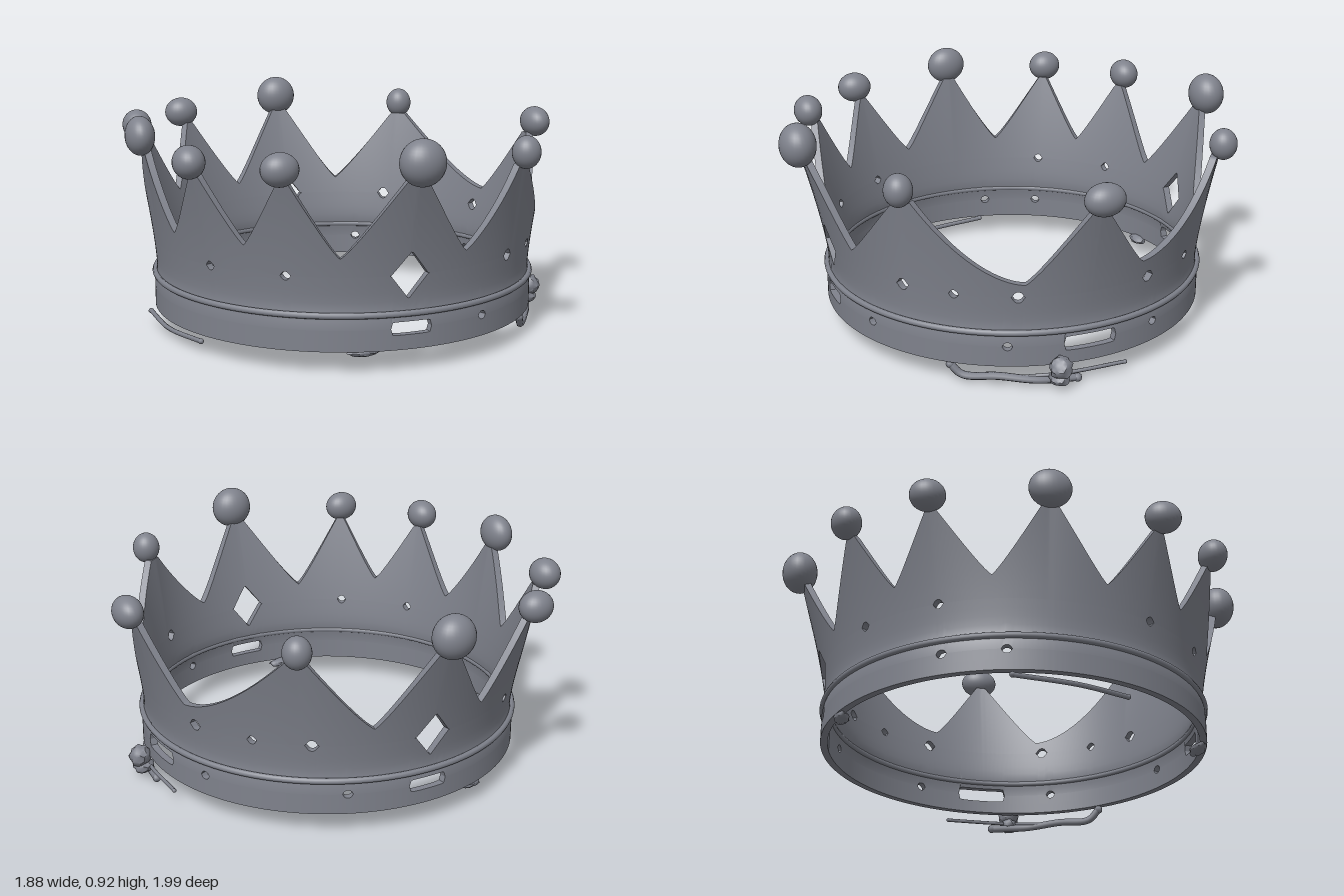
import * as THREE from 'three';
import { toCreasedNormals } from 'three/addons/utils/BufferGeometryUtils.js';

const CX = -0.025;          // ring centre in x
const BOTTOM = 0.09, BAND_MID = 0.175, WALL_MID = 0.385;
const THICK = 0.03;
const COLUMNS = 720;
const rad = THREE.MathUtils.degToRad;

// Balls on the spikes: x, y, z, then half sizes along x, y, z
const BALLS = [
  [-0.035, 0.835, 0.915, 0.09, 0.09, 0.075],
  [0.505, 0.8, 0.67, 0.058, 0.066, 0.057],
  [0.88, 0.8, -0.01, 0.06, 0.065, 0.082],
  [0.51, 0.805, -0.71, 0.057, 0.065, 0.057],
  [-0.035, 0.835, -0.925, 0.088, 0.088, 0.074],
  [-0.535, 0.805, -0.765, 0.073, 0.065, 0.062],
  [-0.8, 0.805, -0.475, 0.062, 0.065, 0.072],
  [-0.885, 0.835, -0.01, 0.06, 0.08, 0.086],
  [-0.8, 0.805, 0.46, 0.063, 0.065, 0.074],
  [-0.53, 0.81, 0.745, 0.074, 0.065, 0.06],
];
// Valley after each spike: angle in degrees, height
const VALLEYS = [
  [16.5, 0.455], [72, 0.44], [107, 0.465], [163, 0.455], [198, 0.455],
  [226, 0.49], [254, 0.48], [286, 0.48], [313.5, 0.495], [340, 0.46],
];
// Holes: angle, half width in degrees, half height, outline power (1 diamond, 2 oval, 8 slot)
const BAND_HOLES = [
  [0, 6, 0.026, 8], [91, 8, 0.03, 8], [180, 6, 0.026, 8],
  ...[24, 67, 113, 156, 240, 258].map(a => [a, 1.4, 0.017, 2]),
];
const WALL_HOLES = [
  [-0.8, 5.4, 0.097, 1], [180.8, 5.4, 0.097, 1],
  ...[36, 70, 110, 146].map(a => [a, 1.6, 0.024, 2]),
  ...[52, 129, 214, 239, 301, 325].map(a => [a, 1.2, 0.018, 2]),
];

const SPIKES = BALLS.map(([x, y, z], i) => ({
  angle: i === 0 ? -1 : (THREE.MathUtils.radToDeg(Math.atan2(x - CX, z)) + 360) % 360,
  reach: Math.hypot(x - CX, z) - 0.008,
  tip: y - 0.045,
}));

// Height of the top edge and reach of the flare at an angle
function crownAt(deg) {
  const d = deg >= 359 ? deg - 360 : deg;
  let i = SPIKES.length - 1;
  while (i > 0 && SPIKES[i].angle > d) i--;
  const a = SPIKES[i], b = SPIKES[(i + 1) % SPIKES.length];
  const end = b.angle <= a.angle ? b.angle + 360 : b.angle;
  const [va, vy] = VALLEYS[i];
  const left = d < va;
  const peak = left ? a : b;
  const width = left ? va - a.angle : end - va;
  const t = Math.min(1, Math.abs(d - va) / width / 0.92);
  return {
    // wide shoulders sag more than narrow ones
    top: vy + (peak.tip - vy) * Math.pow(t, width > 28 ? 1.7 : 1.18),
    reach: THREE.MathUtils.lerp(a.reach, b.reach, (d - a.angle) / (end - a.angle)),
  };
}

function holeHalfHeight(holes, deg) {
  for (const [a, w, h, p] of holes) {
    const d = Math.abs(((deg - a + 540) % 360) - 180) / w;
    if (d < 1) return h * Math.pow(1 - Math.pow(d, p), 1 / p);
  }
  return 0;
}

// Closed ring with a rectangular section between two height functions
function ringStrip(rows, low, high) {
  const pos = [], index = [], n = 2 * (rows + 1);
  for (let i = 0; i < COLUMNS; i++) {
    const deg = i * 360 / COLUMNS, a = rad(deg);
    const crown = crownAt(deg), y0 = low(deg), y1 = high(deg, crown);
    for (let j = 0; j < n; j++) {
      const k = j <= rows ? j : n - 1 - j;
      const y = y0 + (y1 - y0) * k / rows;
      const base = 0.798 - 0.01 * THREE.MathUtils.smoothstep(y, 0.2, 0.25);
      const lift = THREE.MathUtils.clamp((y - 0.27) / 0.53, 0, 1);
      const r = base + (crown.reach - base) * Math.pow(lift, 1.3) - (j <= rows ? 0 : THICK);
      pos.push(CX + r * Math.sin(a), y, r * Math.cos(a));
      const p = i * n + j, q = i * n + (j + 1) % n;
      const p2 = ((i + 1) % COLUMNS) * n + j, q2 = ((i + 1) % COLUMNS) * n + (j + 1) % n;
      index.push(p, p2, q2, p, q2, q);
    }
  }
  const g = new THREE.BufferGeometry();
  g.setAttribute('position', new THREE.Float32BufferAttribute(pos, 3));
  g.setIndex(index);
  return toCreasedNormals(g, rad(40));
}

export function createModel() {
  const crown = new THREE.Group();
  crown.name = 'crown';
  const metal = new THREE.MeshStandardMaterial({ color: 0x7f828c });
  metal.name = 'grey metal';
  const add = (name, geometry, x = 0, y = 0, z = 0) => {
    const m = new THREE.Mesh(geometry, metal);
    m.name = name;
    m.position.set(x, y, z);
    crown.add(m);
    return m;
  };

  // Wall in three rings that part around the two rows of holes
  const bandHole = d => holeHalfHeight(BAND_HOLES, d);
  const wallHole = d => holeHalfHeight(WALL_HOLES, d);
  add('lowerBand', ringStrip(2, () => BOTTOM, d => BAND_MID - bandHole(d)));
  add('middleWall', ringStrip(6, d => BAND_MID + bandHole(d), d => WALL_MID - wallHole(d)));
  add('spikedWall', ringStrip(8, d => WALL_MID + wallHole(d), (d, c) => c.top));

  // Raised rims outside and inside
  const rim = (name, r, tube, y) =>
    add(name, new THREE.TorusGeometry(r, tube, 8, 120).rotateX(Math.PI / 2), CX, y, 0);
  rim('outerRim', 0.795, 0.013, 0.232);
  rim('innerRim', 0.766, 0.012, 0.232);

  // Balls on the spike tips
  for (const [x, y, z, sx, sy, sz] of BALLS) {
    add('ball', new THREE.SphereGeometry(1, 28, 20), x, y, z).scale.set(sx, sy, sz);
  }

  // Loose strands under the foot
  const strand = (name, radius, points) => {
    const path = new THREE.CatmullRomCurve3(points.map(p => new THREE.Vector3(...p)));
    add(name, new THREE.TubeGeometry(path, 32, radius, 7));
    for (const p of [points[0], points[points.length - 1]]) {
      add(name + 'End', new THREE.SphereGeometry(radius * 1.15, 8, 6), ...p);
    }
  };
  strand('rightStrand', 0.016, [[0.575, 0.075, 0.5], [0.6, 0.032, 0.46], [0.68, 0.04, 0.34],
    [0.75, 0.03, 0.2], [0.77, 0.02, 0.04]]);
  strand('rightThinStrand', 0.008, [[0.72, 0.04, 0.26], [0.77, 0.05, 0.1], [0.78, 0.055, -0.16]]);
  strand('leftStrand', 0.01, [[-0.73, 0.05, 0.31], [-0.808, 0.05, 0.1], [-0.83, 0.06, -0.15]]);

  // Broken lump on the right, and drips under the foot
  const lump = (name, x, y, z, sx, sy, sz) => {
    const g = new THREE.IcosahedronGeometry(1, 2);
    const p = g.attributes.position, v = new THREE.Vector3();
    for (let i = 0; i < p.count; i++) {
      v.fromBufferAttribute(p, i);
      v.multiplyScalar(1 + 0.14 * Math.sin(7 * v.x + 2) * Math.sin(6 * v.y + 5 * v.z));
      p.setXYZ(i, v.x, v.y, v.z);
    }
    add(name, toCreasedNormals(g, rad(50)), x, y, z).scale.set(sx, sy, sz);
  };
  lump('brokenLump', 0.805, 0.095, 0.125, 0.045, 0.045, 0.045);
  lump('brokenLumpLower', 0.79, 0.045, 0.125, 0.045, 0.03, 0.04);
  lump('frontDrip', -0.2, 0.08, 0.74, 0.065, 0.018, 0.03);
  lump('backDrip', -0.27, 0.08, -0.73, 0.05, 0.02, 0.03);
  return crown;
}
